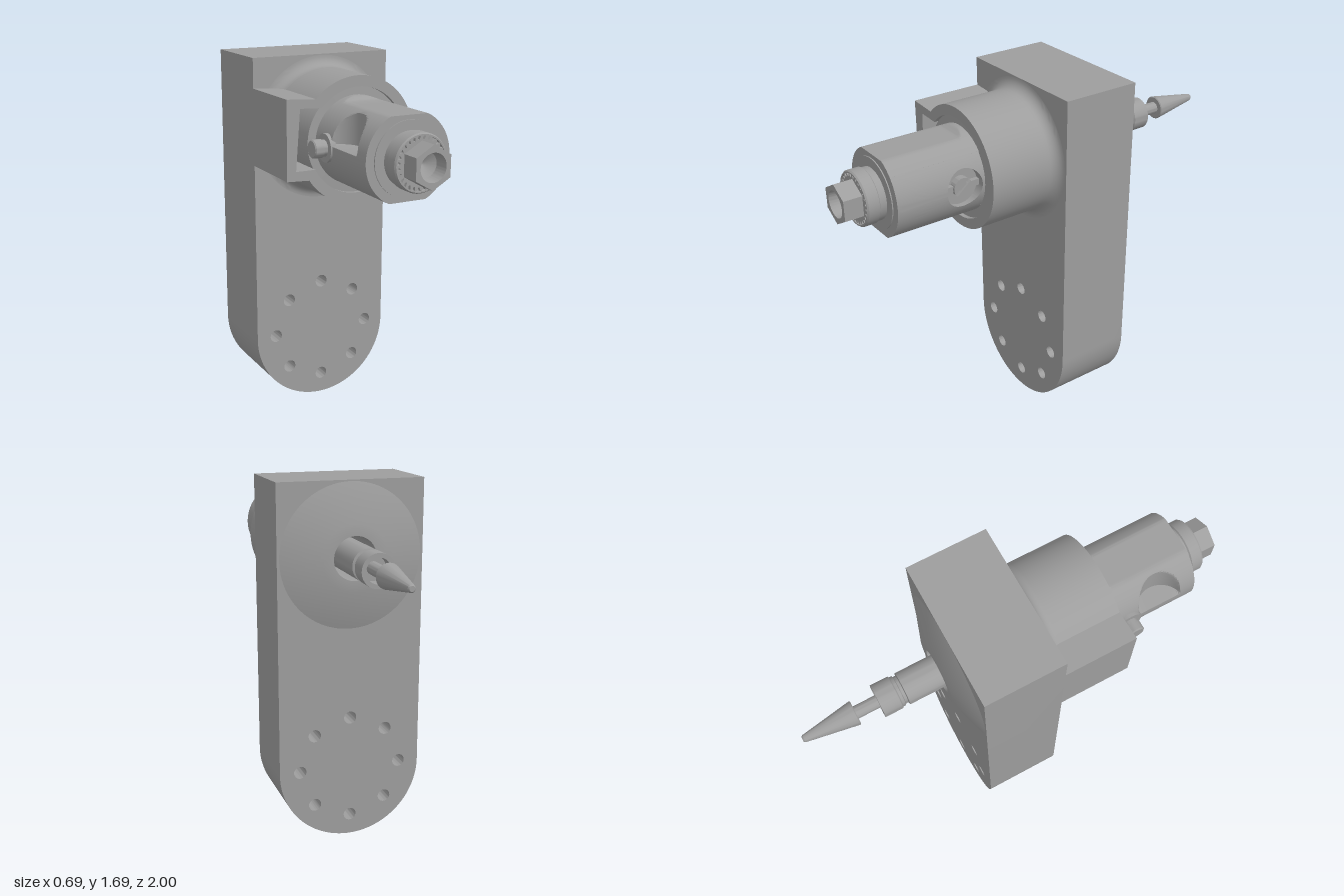
import * as THREE from 'three';
import { toCreasedNormals } from 'three/addons/utils/BufferGeometryUtils.js';

const AXIS_Y = 1.352; // height of the spindle axis
const BODY_R = 0.198, POCKET_X = 0.15, POCKET_Z = 0.495;
const material = new THREE.MeshStandardMaterial({ color: 0x9d9d9d });

function part(name, geometry, parent) {
  const mesh = new THREE.Mesh(toCreasedNormals(geometry, 0.4), material);
  mesh.name = name;
  parent.add(mesh);
  return mesh;
}

// Profile of [radius, z] turned around the z axis
function turned(profile, segments = 64) {
  const points = profile.map(([r, z]) => new THREE.Vector2(r, z));
  return new THREE.LatheGeometry(points, segments).rotateX(Math.PI / 2);
}

function extruded(shape, z0, z1, curveSegments = 32) {
  return new THREE.ExtrudeGeometry(shape, { depth: z1 - z0, bevelEnabled: false, curveSegments })
    .translate(0, 0, z0);
}

function circlePath(x, y, r) {
  return new THREE.Path().absarc(x, y, r, 0, Math.PI * 2, false);
}

function indexed(positions, index) {
  const g = new THREE.BufferGeometry();
  g.setAttribute('position', new THREE.Float32BufferAttribute(positions, 3));
  g.setIndex(index);
  return g;
}

// Upright plate with a round foot and a ring of eight holes
function plateGeometry() {
  const w = 0.343, top = 1.69;
  const shape = new THREE.Shape();
  shape.moveTo(w, w).lineTo(w, top).lineTo(-w, top).lineTo(-w, w);
  shape.absarc(0, w, w, Math.PI, Math.PI * 2, false);
  for (let i = 0; i < 8; i++) {
    const a = i * Math.PI / 4;
    shape.holes.push(circlePath(0.245 * Math.cos(a), 0.345 + 0.245 * Math.sin(a), 0.03));
  }
  shape.holes.push(circlePath(0, AXIS_Y, 0.1));
  return extruded(shape, -0.305, 0.07);
}

// Round housing joined to a side block, with a bore opening into a slot
function housingGeometry() {
  const R = 0.283, bore = 0.235;
  const low = Math.asin(-0.155 / R), high = Math.asin(0.195 / R);
  const shape = new THREE.Shape();
  shape.moveTo(-0.343, 0.203).lineTo(-0.343, -0.15);
  shape.absarc(0, 0, R, -Math.PI - low, Math.PI - high, false);
  shape.closePath();
  const slotLow = Math.asin(-0.11 / bore), slotHigh = Math.asin(0.155 / bore);
  const hole = new THREE.Path();
  hole.moveTo(-0.28, 0.16).lineTo(-0.30, -0.11);
  hole.absarc(0, 0, bore, -Math.PI - slotLow, Math.PI - slotHigh, false);
  hole.closePath();
  shape.holes.push(hole);
  return extruded(shape, 0.06, 0.41, 48);
}

// Body lofted along z: a stepped cylinder with top and bottom flats, a side scoop,
// and one side cut back to carry the cheek
function bodyGeometry() {
  const N = 128, stations = [0, 0.39, 0.392, 0.41, 0.417, 0.423, 0.43, 0.437, 0.443, 0.45];
  for (let i = 0; i <= 24; i++) stations.push(0.64 - 0.11 * Math.cos(i * Math.PI / 24));
  stations.push(0.82);
  const positions = [], index = [];
  stations.forEach((z, s) => {
    const inside = z < 0.391, R = inside ? 0.235 : BODY_R;
    const flatY = inside ? R : THREE.MathUtils.lerp(R, 0.178, THREE.MathUtils.smoothstep(z, 0.405, 0.45));
    const scoop = -0.22 + Math.sqrt(Math.max(0, 0.0121 - (z - 0.64) ** 2));
    for (let j = 0; j < N; j++) {
      const a = (j + 0.5) / N * Math.PI * 2;
      const y = THREE.MathUtils.clamp(R * Math.sin(a), -flatY, flatY);
      let x = Math.min(R * Math.cos(a), inside ? R : POCKET_X);
      if (y > 0.02 && !inside) x = Math.max(x, scoop);
      positions.push(x, y, z);
      const k = (j + 1) % N, b = s * N;
      if (s < stations.length - 1) {
        index.push(b + j, b + k, b + N + j, b + k, b + N + k, b + N + j);
      }
    }
  });
  // End caps
  const last = (stations.length - 1) * N, c = positions.length / 3;
  positions.push(0, 0, 0, 0, 0, 0.82);
  for (let j = 0; j < N; j++) {
    const k = (j + 1) % N;
    index.push(c, k, j, c + 1, last + j, last + k);
  }
  return indexed(positions, index);
}

// Curved cheek with a round screw pocket: rings blend from the pocket's rim to a rectangle
function cheekGeometry() {
  const halfY = Math.sqrt(BODY_R ** 2 - POCKET_X ** 2), z0 = 0.395, z1 = 0.82;
  const side = 24, rows = 10, N = side * 4;
  const corners = [[-halfY, z0], [halfY, z0], [halfY, z1], [-halfY, z1]];
  const positions = [], index = [];
  for (let row = -1; row <= rows + 1; row++) {
    const t = THREE.MathUtils.clamp(row / rows, 0, 1);
    for (let j = 0; j < N; j++) {
      const [ya, za] = corners[Math.floor(j / side)];
      const [yb, zb] = corners[(Math.floor(j / side) + 1) % 4];
      const f = (j % side) / side;
      const ry = ya + (yb - ya) * f, rz = za + (zb - za) * f;
      const a = Math.atan2(rz - POCKET_Z, ry);
      const y = THREE.MathUtils.lerp(0.088 * Math.cos(a), ry, t);
      const z = THREE.MathUtils.lerp(POCKET_Z + 0.088 * Math.sin(a), rz, t);
      const onSurface = row >= 0 && row <= rows;
      positions.push(onSurface ? Math.sqrt(BODY_R ** 2 - y * y) : POCKET_X, y, z);
      if (row <= rows) {
        const b = (row + 1) * N, k = (j + 1) % N;
        index.push(b + j, b + N + j, b + k, b + k, b + N + j, b + N + k);
      }
    }
  }
  return indexed(positions, index);
}

// Ring with fine teeth around its edge
function toothedRingGeometry(teeth, inner, outer, z0, z1) {
  const points = [];
  for (let i = 0; i < teeth * 4; i++) {
    const a = i / (teeth * 4) * Math.PI * 2, r = i % 4 < 2 ? outer : inner;
    points.push(new THREE.Vector2(r * Math.cos(a), r * Math.sin(a)));
  }
  const shape = new THREE.Shape(points);
  shape.holes.push(circlePath(0, 0, 0.06));
  return extruded(shape, z0, z1);
}

export function createModel() {
  const model = new THREE.Group();
  model.name = 'spindleMount';
  part('mountingPlate', plateGeometry(), model);

  const head = new THREE.Group();
  head.name = 'spindleHead';
  head.position.y = AXIS_Y;
  model.add(head);

  // Housing, with a fillet where it meets the plate
  part('housing', housingGeometry(), head);
  const fillet = [];
  for (let i = 0; i <= 8; i++) {
    const a = i / 8 * Math.PI / 2;
    fillet.push([0.333 - 0.05 * Math.sin(a), 0.12 - 0.05 * Math.cos(a)]);
  }
  part('housingFillet', turned(fillet, 96), head);

  // Conical boss on the back, with an open bore
  part('rearBoss', turned([[0.1, -0.2], [0.1, -0.363], [0.153, -0.363], [0.335, -0.304]], 96), head);

  // Motor body
  part('body', bodyGeometry(), head);
  part('bodyCheek', cheekGeometry(), head);
  part('endDisc', turned([[0.16, 0.81], [0.16, 0.825], [0, 0.825]]), head);

  // Slotted screw in the cheek pocket: two half discs over a crossbar
  part('pocketBar', new THREE.BoxGeometry(0.03, 0.028, 0.172).translate(0.157, 0, POCKET_Z), head);
  const screw = new THREE.Group();
  screw.name = 'pocketScrew';
  screw.position.z = POCKET_Z;
  screw.rotation.x = 0.7;
  head.add(screw);
  for (const side of [0, Math.PI]) {
    const half = new THREE.Shape().absarc(0, 0, 0.045, side + 0.15, side + Math.PI - 0.15, false);
    part('screwHalf', extruded(half, 0.145, 0.182).rotateY(Math.PI / 2), screw);
  }

  // Side knob
  const knob = turned([[0.062, 0.18], [0.062, 0.205], [0.036, 0.205], [0.036, 0.222],
    [0.04, 0.222], [0.04, 0.26], [0.035, 0.265], [0, 0.265]], 32);
  part('sideKnob', knob.rotateY(-Math.PI / 2).translate(0, 0, 0.485), head);

  // Front collet, toothed ring and hollow hexagonal nut
  part('colletCollar', turned([[0.117, 0.82], [0.117, 0.855], [0.123, 0.86], [0.123, 0.91],
    [0.118, 0.917], [0.112, 0.917], [0.112, 0.9], [0.06, 0.9]]), head);
  part('toothedRing', toothedRingGeometry(28, 0.097, 0.112, 0.89, 0.914), head);
  const hex = new THREE.Shape();
  for (let i = 0; i < 6; i++) {
    const a = Math.PI / 6 + i * Math.PI / 3;
    hex[i ? 'lineTo' : 'moveTo'](0.092 * Math.cos(a), 0.092 * Math.sin(a));
  }
  hex.closePath();
  hex.holes.push(circlePath(0, 0, 0.06));
  part('hexNut', extruded(hex, 0.9, 1.0), head);
  part('nutBore', turned([[0.06, 1.0], [0.054, 0.94], [0, 0.91]]), head);

  // Rear chuck: grooved tube with an open end
  part('chuck', turned([[0, -0.58], [0.056, -0.58], [0.056, -0.648], [0.076, -0.648],
    [0.076, -0.565], [0.07, -0.56], [0.07, -0.548], [0.064, -0.545], [0.064, -0.533],
    [0.075, -0.53], [0.075, 0.02]], 48), head);

  // Cutting tool: thin shank and tapered tip
  part('toolShank', turned([[0.029, -0.78], [0.029, -0.57]], 32), head);
  part('toolTip', turned([[0, -1.0], [0.012, -1.0], [0.017, -0.993], [0.056, -0.757],
    [0.052, -0.753], [0, -0.753]], 48), head);

  return model;
}
